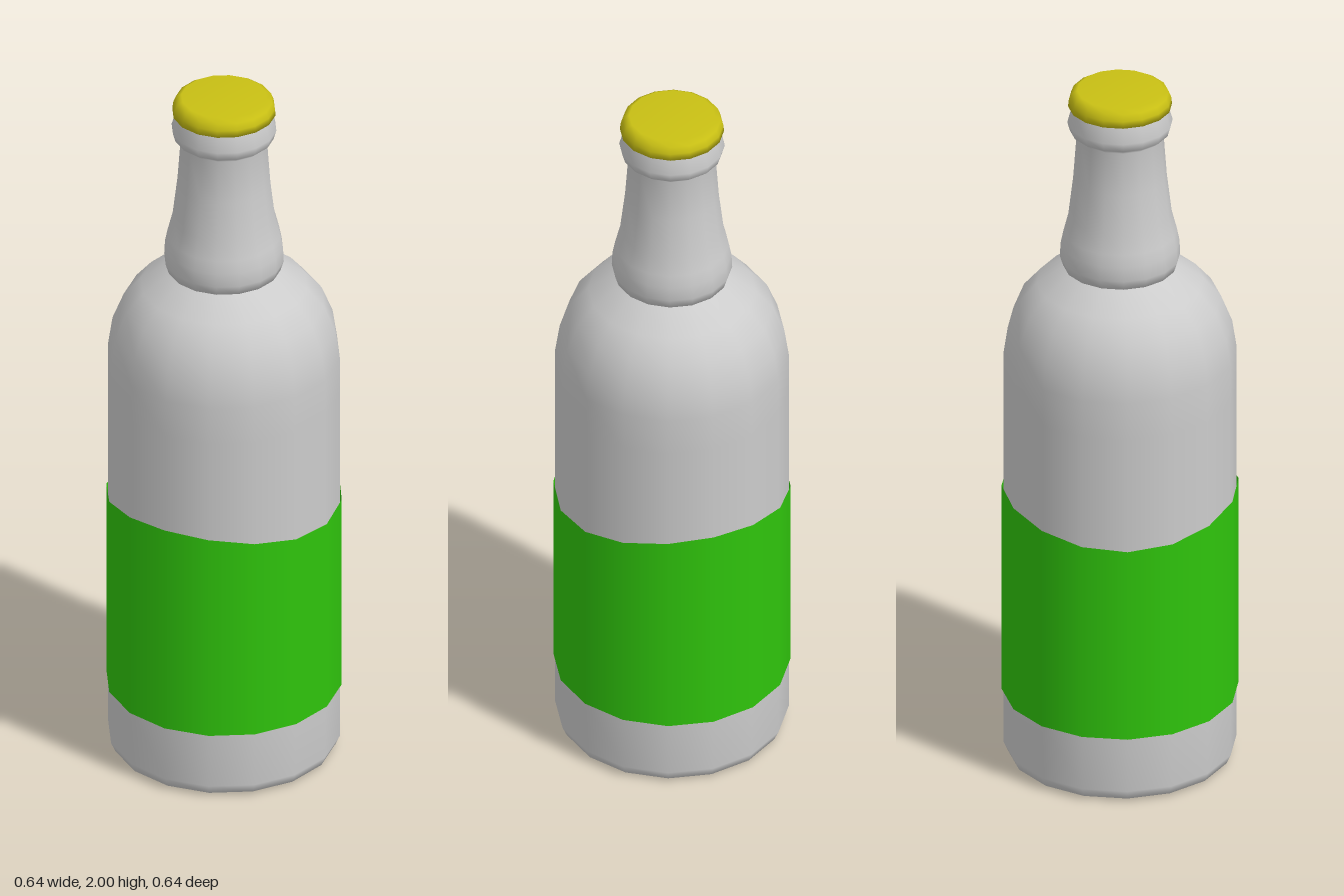
import * as THREE from 'three';

const SIDES = 16;

// Smooth-shaded turned part from [radius, height] pairs, listed bottom to top
function turned(name, profile, color) {
  const points = profile.map(([r, y]) => new THREE.Vector2(r, y));
  const material = new THREE.MeshStandardMaterial({ color });
  const mesh = new THREE.Mesh(new THREE.LatheGeometry(points, SIDES), material);
  mesh.name = name;
  return mesh;
}

// Paper sleeve whose top edge rises at front and back and dips at the sides
function makeLabel() {
  const radius = 0.319, bottom = 0.195, top = 0.787, wave = 0.024;
  const geometry = new THREE.CylinderGeometry(radius, radius, top - bottom, SIDES, 1, true);
  geometry.translate(0, (top + bottom) / 2, 0);
  const pos = geometry.attributes.position;
  for (let i = 0; i < pos.count; i++) {
    if (pos.getY(i) < top - 0.01) continue;
    const angle = Math.atan2(pos.getX(i), pos.getZ(i));
    pos.setY(i, top + wave * Math.cos(2 * angle));
  }
  const material = new THREE.MeshStandardMaterial({ color: 0x2fc40c, side: THREE.DoubleSide });
  const mesh = new THREE.Mesh(geometry, material);
  mesh.name = 'label';
  return mesh;
}

export function createModel() {
  const bottle = new THREE.Group();
  bottle.name = 'bottle';

  // Base, straight wall and rounded shoulder
  bottle.add(turned('body', [
    [0, 0], [0.285, 0], [0.302, 0.008], [0.314, 0.035],
    [0.314, 0.2], [0.314, 1.1], [0.314, 1.21], [0.302, 1.29],
    [0.272, 1.365], [0.225, 1.42], [0.16, 1.465], [0.14, 1.478],
  ], 0xcccccc));

  // Swollen neck foot, tapering neck and rolled lip
  bottle.add(turned('neck', [
    [0.13, 1.46], [0.153, 1.472], [0.162, 1.5], [0.16, 1.54], [0.153, 1.575],
    [0.139, 1.63], [0.126, 1.74], [0.117, 1.865], [0.135, 1.88],
    [0.142, 1.905], [0.13, 1.945], [0.126, 1.965], [0, 1.965],
  ], 0xcccccc));

  // Crown cap with a flared skirt
  bottle.add(turned('cap', [
    [0.12, 1.953], [0.14, 1.953], [0.138, 1.972], [0.131, 1.99], [0.115, 2], [0, 2],
  ], 0xc9c014));

  bottle.add(makeLabel());
  return bottle;
}
